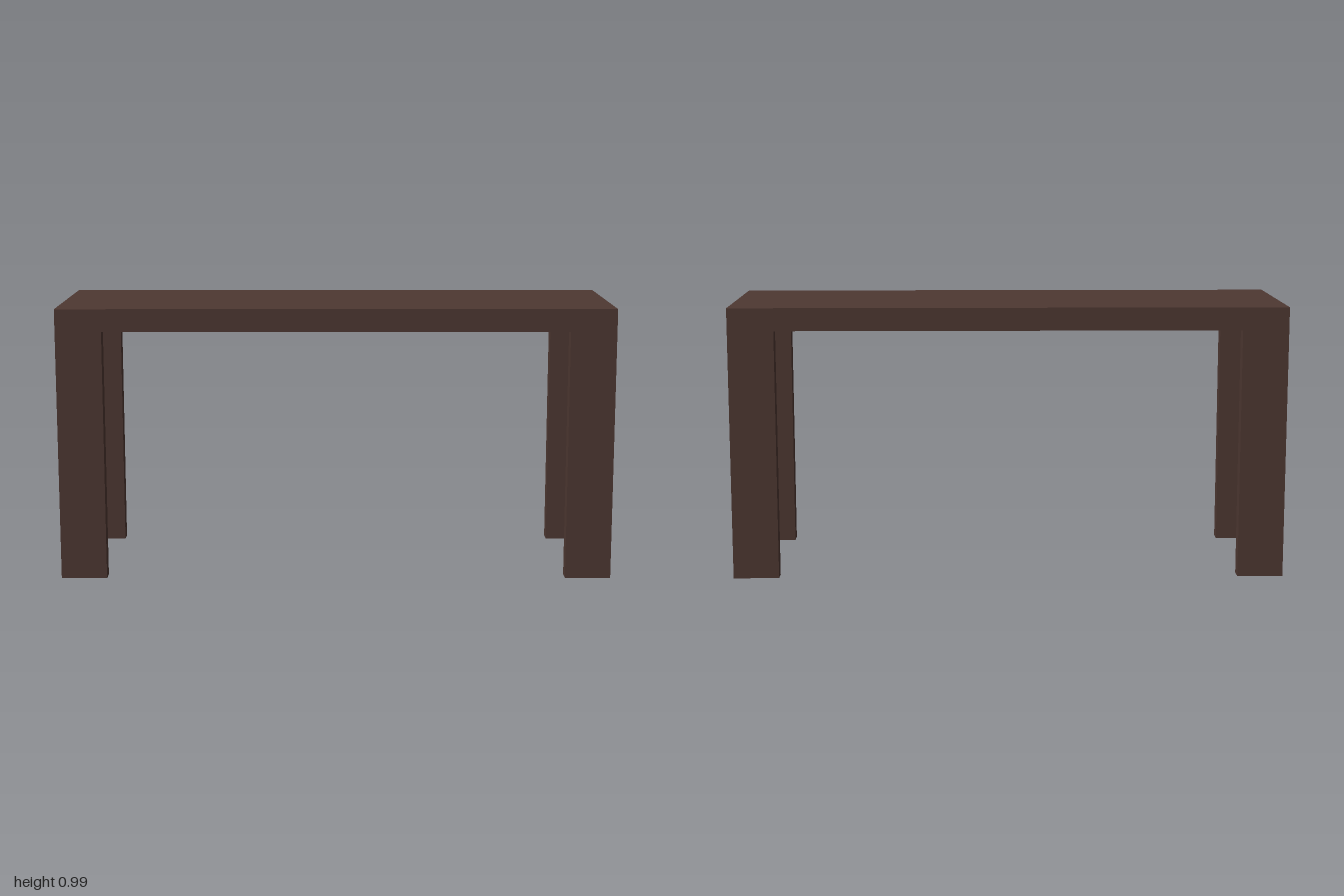
import * as THREE from 'three';

// Overall size, leg section and heights
const HX = 1, HZ = 0.318, TOP = 0.985;
const LEG_X = 0.165, LEG_Z = 0.053;
const RAIL_Y = 0.903, PANEL_Y = 0.971;

export function createModel() {
  const group = new THREE.Group();
  const wood = new THREE.MeshStandardMaterial({ color: 0x4e3832 });
  const inX = HX - LEG_X, inZ = HZ - LEG_Z;

  const add = (name, geometry, x, y, z) => {
    const mesh = new THREE.Mesh(geometry, wood);
    mesh.name = name;
    mesh.position.set(x, y, z);
    group.add(mesh);
  };

  // Thin top panel; the rails below leave a shallow recess under it
  add('tableTop', new THREE.BoxGeometry(2 * HX, TOP - PANEL_Y, 2 * HZ), 0, (TOP + PANEL_Y) / 2, 0);

  // Long sides: two legs and their rail as one flat arch
  const arch = new THREE.Shape([
    [-HX, 0], [-inX, 0], [-inX, RAIL_Y], [inX, RAIL_Y],
    [inX, 0], [HX, 0], [HX, PANEL_Y], [-HX, PANEL_Y],
  ].map(([x, y]) => new THREE.Vector2(x, y)));
  const archGeometry = new THREE.ExtrudeGeometry(arch, { depth: LEG_Z, bevelEnabled: false });
  add('frontLegsAndRail', archGeometry, 0, 0, inZ);
  add('backLegsAndRail', archGeometry, 0, 0, -HZ);

  // End rails, as wide as the legs, between the two arches
  const endGeometry = new THREE.BoxGeometry(LEG_X, PANEL_Y - RAIL_Y, 2 * inZ);
  for (const [name, side] of [['leftEndRail', 1], ['rightEndRail', -1]]) {
    add(name, endGeometry, side * (HX - LEG_X / 2), (PANEL_Y + RAIL_Y) / 2, 0);
  }
  return group;
}
